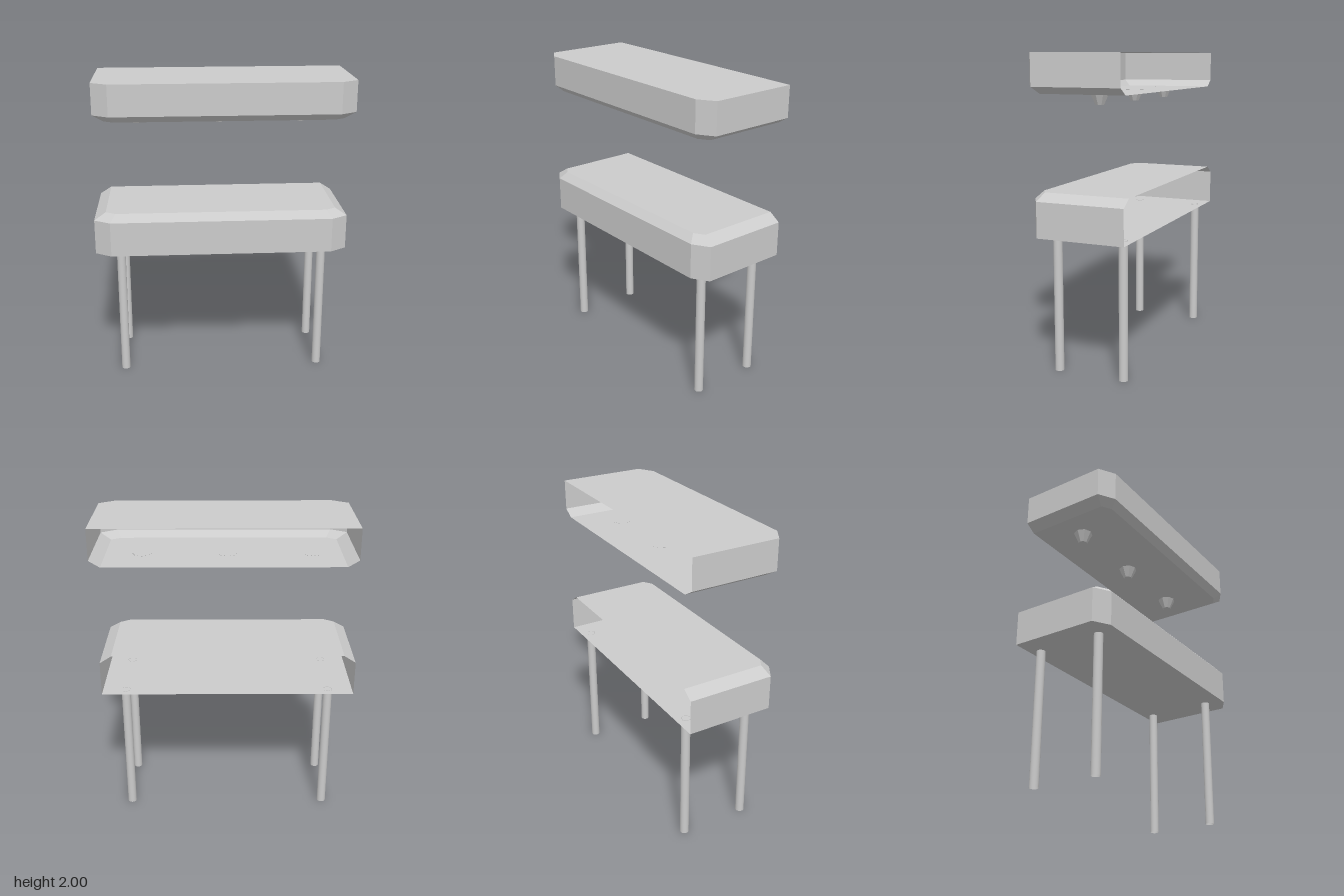
import * as THREE from 'three';

const flat = new THREE.MeshStandardMaterial({ color: 0xcccccc, flatShading: true, side: THREE.DoubleSide });
const smooth = new THREE.MeshStandardMaterial({ color: 0xcccccc, side: THREE.DoubleSide });

// Horizontal outline with two cut front corners, running from back right round to back left
function outline(y, x0, x1, back, front, cutX, cutZ) {
  return [
    [x1, back], [x1, front - cutZ], [x1 - cutX, front],
    [x0 + cutX, front], [x0, front - cutZ], [x0, back],
  ].map(([x, z]) => [x, y, z]);
}

// Shell through stacked outlines, capped below and above, open at the back
function shell(name, loops) {
  const pos = [];
  const tri = (a, b, c) => pos.push(...a, ...b, ...c);
  for (let k = 0; k < loops.length - 1; k++) {
    const a = loops[k], b = loops[k + 1];
    for (let i = 0; i < a.length - 1; i++) {
      tri(a[i], b[i], a[i + 1]);
      tri(a[i + 1], b[i], b[i + 1]);
    }
  }
  const low = loops[0], high = loops[loops.length - 1];
  for (let i = 1; i < low.length - 1; i++) {
    tri(low[0], low[i], low[i + 1]);
    tri(high[0], high[i + 1], high[i]);
  }
  const geo = new THREE.BufferGeometry();
  geo.setAttribute('position', new THREE.Float32BufferAttribute(pos, 3));
  geo.computeVertexNormals();
  const mesh = new THREE.Mesh(geo, flat);
  mesh.name = name;
  return mesh;
}

export function createModel() {
  const model = new THREE.Group();
  model.name = 'counterWithHood';

  // Counter body, bevelled along its upper edge
  model.add(shell('counter', [
    outline(0.885, -0.835, 0.81, -0.325, 0.318, 0.105, 0.065),
    outline(1.112, -0.835, 0.81, -0.325, 0.318, 0.105, 0.065),
    outline(1.16, -0.76, 0.735, -0.325, 0.272, 0.065, 0.04),
  ]));

  // Overhead hood, bevelled along its lower edge
  model.add(shell('hood', [
    outline(1.757, -0.745, 0.765, -0.318, 0.279, 0.065, 0.04),
    outline(1.8, -0.815, 0.835, -0.318, 0.325, 0.105, 0.065),
    outline(2, -0.815, 0.835, -0.318, 0.325, 0.105, 0.065),
  ]));

  // Four open tubular legs
  const legGeo = new THREE.CylinderGeometry(0.029, 0.029, 0.887, 20, 1, true);
  for (const x of [-0.675, 0.66]) {
    for (const z of [0.188, -0.257]) {
      const leg = new THREE.Mesh(legGeo, smooth);
      leg.name = 'leg';
      leg.position.set(x, 0.4435, z);
      model.add(leg);
    }
  }

  // Three tapered lamps under the hood
  const lampGeo = new THREE.CylinderGeometry(0.063, 0.028, 0.073, 8);
  for (const x of [-0.555, -0.012, 0.53]) {
    const lamp = new THREE.Mesh(lampGeo, flat);
    lamp.name = 'lamp';
    lamp.position.set(x, 1.7215, -0.045);
    model.add(lamp);
  }
  return model;
}
